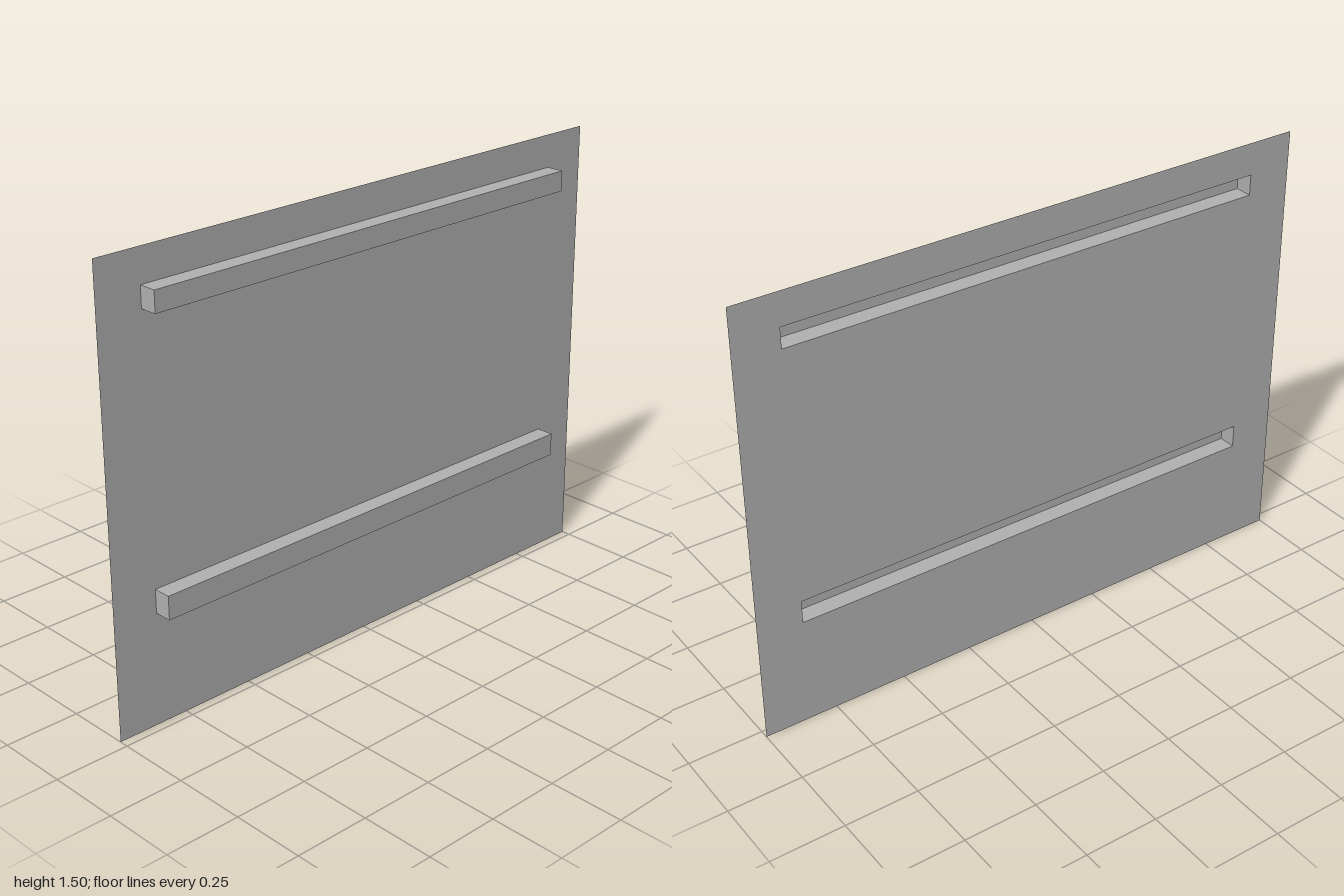
import * as THREE from 'three';

const HALF_LENGTH = 1, HEIGHT = 1.5;     // panel
const RIB_HALF = 0.845, DEPTH = 0.06;    // raised ribs, open at the back
const RIBS = [
  { name: 'lowerRib', y0: 0.373, y1: 0.452 },
  { name: 'upperRib', y0: 1.32, y1: 1.389 },
];

function rectPoints(x0, x1, y0, y1) {
  return [[x0, y0], [x1, y0], [x1, y1], [x0, y1]].map(([x, y]) => new THREE.Vector2(x, y));
}

// Thin sheet with a slot behind each rib
function makePanel(material) {
  const shape = new THREE.Shape(rectPoints(-HALF_LENGTH, HALF_LENGTH, 0, HEIGHT));
  for (const { y0, y1 } of RIBS) {
    shape.holes.push(new THREE.Path(rectPoints(-RIB_HALF, RIB_HALF, y0, y1).reverse()));
  }
  const panel = new THREE.Mesh(new THREE.ShapeGeometry(shape).rotateY(Math.PI / 2), material);
  panel.name = 'panel';
  panel.position.x = -DEPTH / 2;
  return panel;
}

// Hollow box whose -x face is left out, so it reads as a channel from behind
function makeRib({ name, y0, y1 }, material) {
  const geometry = new THREE.BoxGeometry(DEPTH, y1 - y0, RIB_HALF * 2);
  const index = Array.from(geometry.index.array);
  index.splice(6, 6);
  geometry.setIndex(index);
  geometry.clearGroups();
  const rib = new THREE.Mesh(geometry, material);
  rib.name = name;
  rib.position.y = (y0 + y1) / 2;
  return rib;
}

export function createModel() {
  const grey = new THREE.MeshStandardMaterial({ color: 0xb2b2b2, side: THREE.DoubleSide });
  grey.name = 'grey';
  const model = new THREE.Group();
  model.name = 'ribbedPanel';
  model.add(makePanel(grey), ...RIBS.map((rib) => makeRib(rib, grey)));
  return model;
}
